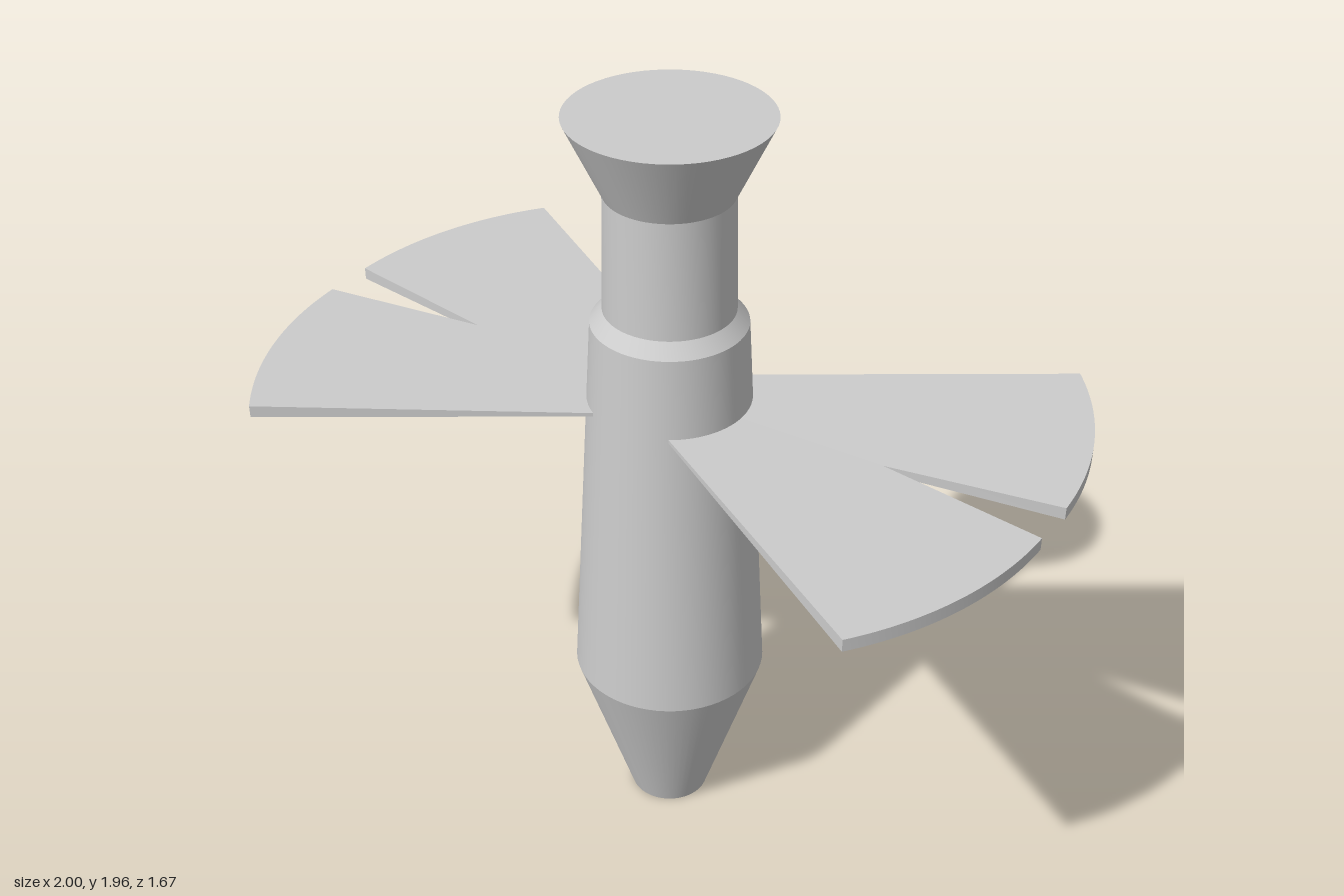
import * as THREE from 'three';
import { toCreasedNormals } from 'three/addons/utils/BufferGeometryUtils.js';

const material = new THREE.MeshStandardMaterial({ color: 0xcccccc });

// Turned body: tapered foot, long barrel, neck and flared top
function makeBody() {
  const profile = [
    [0, 0], [0.1, 0], [0.242, 0.44], [0.188, 1.44], [0.158, 1.475],
    [0.153, 1.77], [0.242, 1.957], [0, 1.957],
  ].map(([r, y]) => new THREE.Vector2(r, y));
  const body = new THREE.Mesh(
    toCreasedNormals(new THREE.LatheGeometry(profile, 64), THREE.MathUtils.degToRad(15)),
    material,
  );
  body.name = 'body';
  return body;
}

// Flat blade pointing along +x, widening and thickening towards a rounded tip
function makeBladeGeometry() {
  const rootX = 0.05, tipX = 0.952, tipHalf = 0.283;
  const rootHalf = 0.1;
  const arcX = 0.13, arcR = 0.87; // tip arc centre and radius
  const a = Math.asin(tipHalf / arcR);

  const shape = new THREE.Shape();
  shape.moveTo(rootX, -rootHalf);
  shape.lineTo(tipX, -tipHalf);
  shape.absarc(arcX, 0, arcR, -a, a, false);
  shape.lineTo(rootX, rootHalf);
  shape.closePath();

  const geometry = new THREE.ExtrudeGeometry(shape, { depth: 1, bevelEnabled: false, curveSegments: 16 });
  geometry.translate(0, 0, -0.5);

  // Thickness grows linearly along the blade
  const p = geometry.attributes.position;
  for (let i = 0; i < p.count; i++) p.setZ(i, p.getZ(i) * (0.005 + 0.027 * p.getX(i)));
  geometry.rotateX(-Math.PI / 2);
  return toCreasedNormals(geometry, THREE.MathUtils.degToRad(20));
}

export function createModel() {
  const model = new THREE.Group();
  model.name = 'bladedSpindle';
  model.add(makeBody());

  // Two pairs of opposed blades
  const bladeGeometry = makeBladeGeometry();
  [0, 40.6, 180, 220.6].forEach((angle, i) => {
    const blade = new THREE.Mesh(bladeGeometry, material);
    blade.name = `blade${i + 1}`;
    blade.position.y = 1.23;
    blade.rotation.y = THREE.MathUtils.degToRad(angle);
    model.add(blade);
  });
  return model;
}
